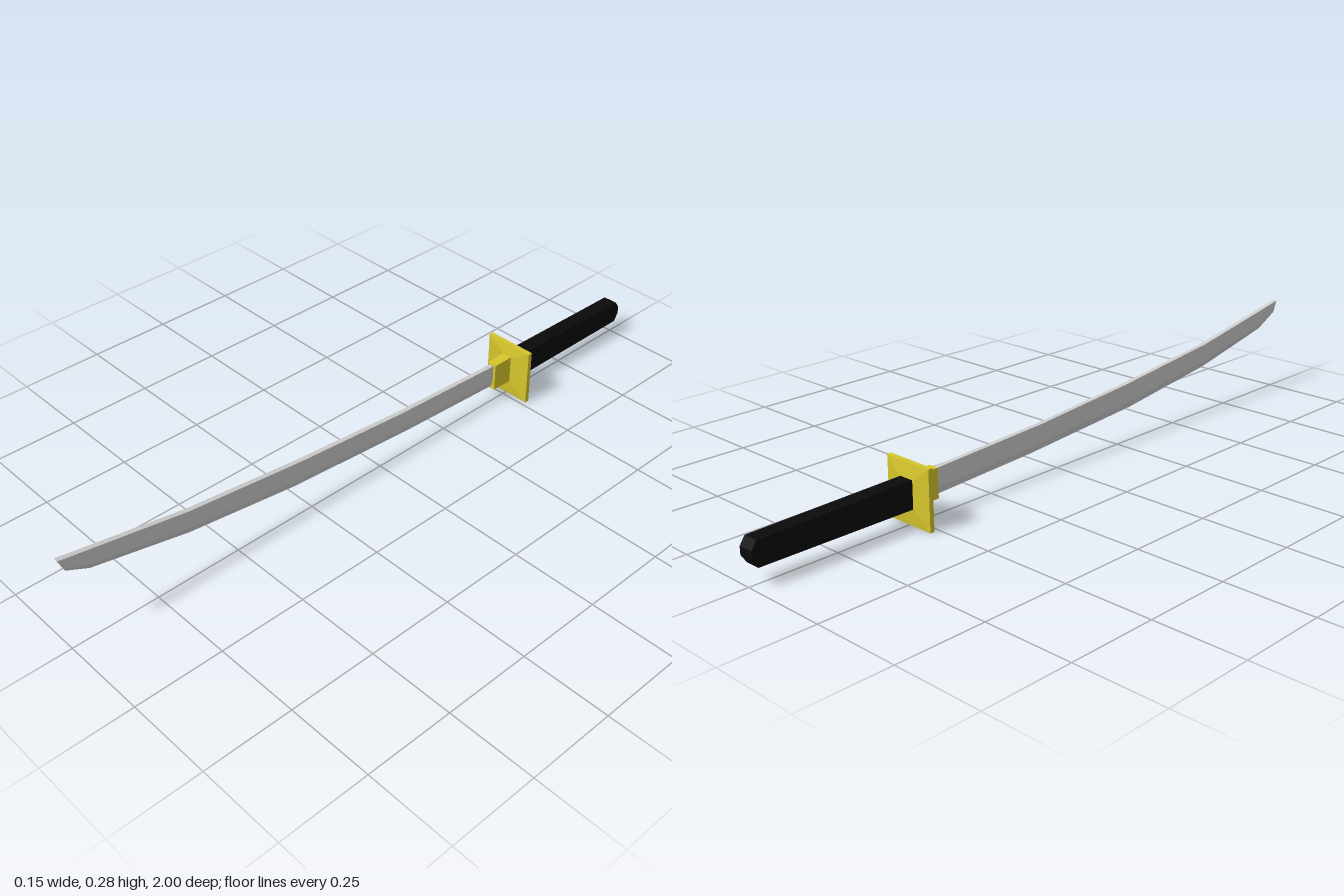
import * as THREE from 'three';

// Skin closed rings of [x, y, z] points, counter-clockwise seen from +z, ordered back to front
function loft(name, rings, material) {
  const pos = [];
  const tri = (...points) => points.forEach((p) => pos.push(...p));
  const n = rings[0].length;
  for (let i = 0; i < rings.length - 1; i++) {
    const a = rings[i], b = rings[i + 1];
    for (let j = 0; j < n; j++) {
      const k = (j + 1) % n;
      tri(a[j], a[k], b[k]);
      tri(a[j], b[k], b[j]);
    }
  }
  // End caps
  const back = rings[0], front = rings[rings.length - 1];
  for (let j = 1; j < n - 1; j++) {
    tri(back[0], back[j + 1], back[j]);
    tri(front[0], front[j], front[j + 1]);
  }
  const geometry = new THREE.BufferGeometry();
  geometry.setAttribute('position', new THREE.Float32BufferAttribute(pos, 3));
  geometry.computeVertexNormals();
  const mesh = new THREE.Mesh(geometry, material);
  mesh.name = name;
  return mesh;
}

// Rectangular ring: half width, bottom, top, z
const rect = (w, y0, y1, z) => [[-w, y0, z], [w, y0, z], [w, y1, z], [-w, y1, z]];

// Blade section: flat spine, parallel sides and a bevel down to the cutting edge
function bladeRing([spineZ, spineY, edgeZ, edgeY]) {
  const w = 0.007, t = 0.27;
  const bevelY = THREE.MathUtils.lerp(edgeY, spineY, t);
  const bevelZ = THREE.MathUtils.lerp(edgeZ, spineZ, t);
  return [
    [0, edgeY, edgeZ],
    [w, bevelY, bevelZ],
    [w, spineY, spineZ],
    [-w, spineY, spineZ],
    [-w, bevelY, bevelZ],
  ];
}

export function createModel() {
  const material = (color) => new THREE.MeshStandardMaterial({ color, flatShading: true });
  const steel = material(0xcccccc);
  const gold = material(0xd6c62c);
  const black = material(0x0a0a0a);

  const group = new THREE.Group();
  group.name = 'sword';

  // Curved blade: spine z, spine y, edge z, edge y
  const stations = [
    [-0.5, 0.125, -0.5, 0.051],
    [-0.44, 0.127, -0.44, 0.054],
    [-0.07, 0.145, -0.1, 0.07],
    [0.28, 0.174, 0.3, 0.1],
    [0.64, 0.215, 0.64, 0.145],
    [0.93, 0.267, 0.92, 0.205],
    [1, 0.28, 0.982, 0.236],
  ];
  group.add(loft('blade', stations.map(bladeRing), steel));

  // Collar between blade and guard
  group.add(loft('collar', [rect(0.015, 0.048, 0.131, -0.52), rect(0.015, 0.049, 0.131, -0.443)], gold));

  // Square guard, swelling slightly towards the middle on both faces
  group.add(loft('guard', [
    rect(0.022, 0.05, 0.125, -0.533),
    rect(0.076, 0, 0.167, -0.527),
    rect(0.076, 0, 0.167, -0.514),
    rect(0.015, 0.048, 0.131, -0.508),
  ], gold));

  // Handle, tapering slightly to a wedge-shaped butt
  group.add(loft('handle', [
    rect(0.022, 0.073, 0.095, -1),
    rect(0.022, 0.05, 0.117, -0.985),
    rect(0.022, 0.049, 0.126, -0.525),
  ], black));

  return group;
}
